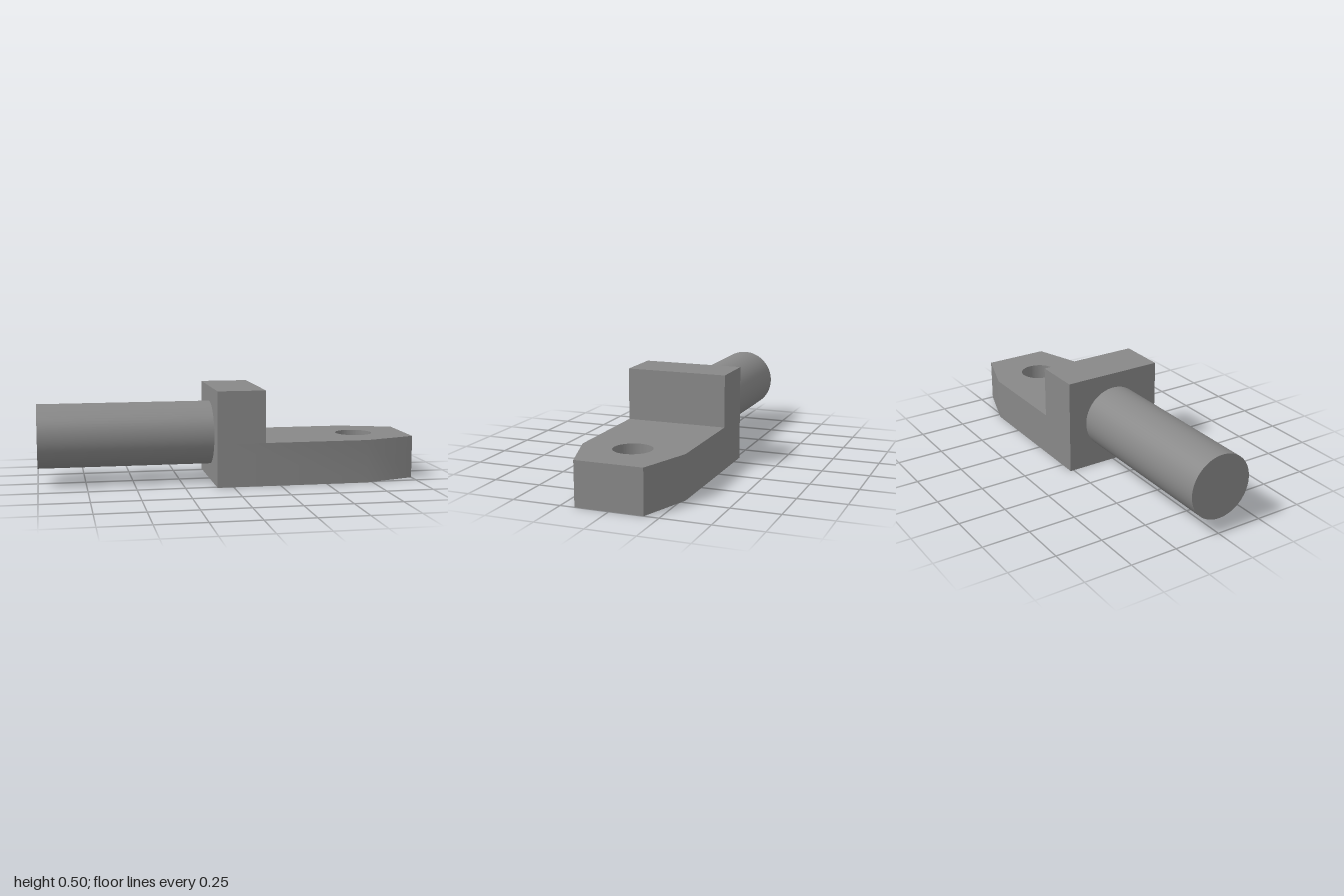
import * as THREE from 'three';
import { toCreasedNormals } from 'three/addons/utils/BufferGeometryUtils.js';

const BACK = -0.085, STEP = 0.168, TAPER = 0.72, TIP = 1;
const HALF_WIDTH = 0.269, TIP_HALF = 0.175;
const PLATE_TOP = 0.228, BLOCK_TOP = 0.502;
const ROD_RADIUS = 0.169, ROD_Y = 0.253;
const HOLE_X = 0.722, HOLE_RADIUS = 0.099;

export function createModel() {
  const group = new THREE.Group();
  const material = new THREE.MeshStandardMaterial({ color: 0x888888 });
  const add = (name, geometry) => {
    const mesh = new THREE.Mesh(geometry, material);
    mesh.name = name;
    group.add(mesh);
    return mesh;
  };

  // Flat tongue with a tapered tip and a pin hole, running under the block
  const outline = new THREE.Shape([
    [BACK, -HALF_WIDTH], [TAPER, -HALF_WIDTH], [TIP, -TIP_HALF],
    [TIP, TIP_HALF], [TAPER, HALF_WIDTH], [BACK, HALF_WIDTH],
  ].map(([x, y]) => new THREE.Vector2(x, y)));
  outline.holes.push(new THREE.Path().absarc(HOLE_X, 0, HOLE_RADIUS, 0, Math.PI * 2, true));
  const tongue = new THREE.ExtrudeGeometry(outline, {
    depth: PLATE_TOP, bevelEnabled: false, curveSegments: 48,
  });
  tongue.rotateX(-Math.PI / 2);
  // Soft shading across the shallow taper and inside the hole, sharp elsewhere
  add('tongue', toCreasedNormals(tongue, Math.PI / 6));

  // Raised shoulder block
  const blockHeight = BLOCK_TOP - PLATE_TOP;
  add('shoulderBlock', new THREE.BoxGeometry(STEP - BACK, blockHeight, HALF_WIDTH * 2))
    .position.set((BACK + STEP) / 2, PLATE_TOP + blockHeight / 2, 0);

  // Round rod leaving the back of the block
  const rodLength = BACK + 1;
  const rod = new THREE.CylinderGeometry(ROD_RADIUS, ROD_RADIUS, rodLength, 64);
  rod.rotateZ(Math.PI / 2);
  add('rod', rod).position.set(-1 + rodLength / 2, ROD_Y, 0);

  return group;
}
